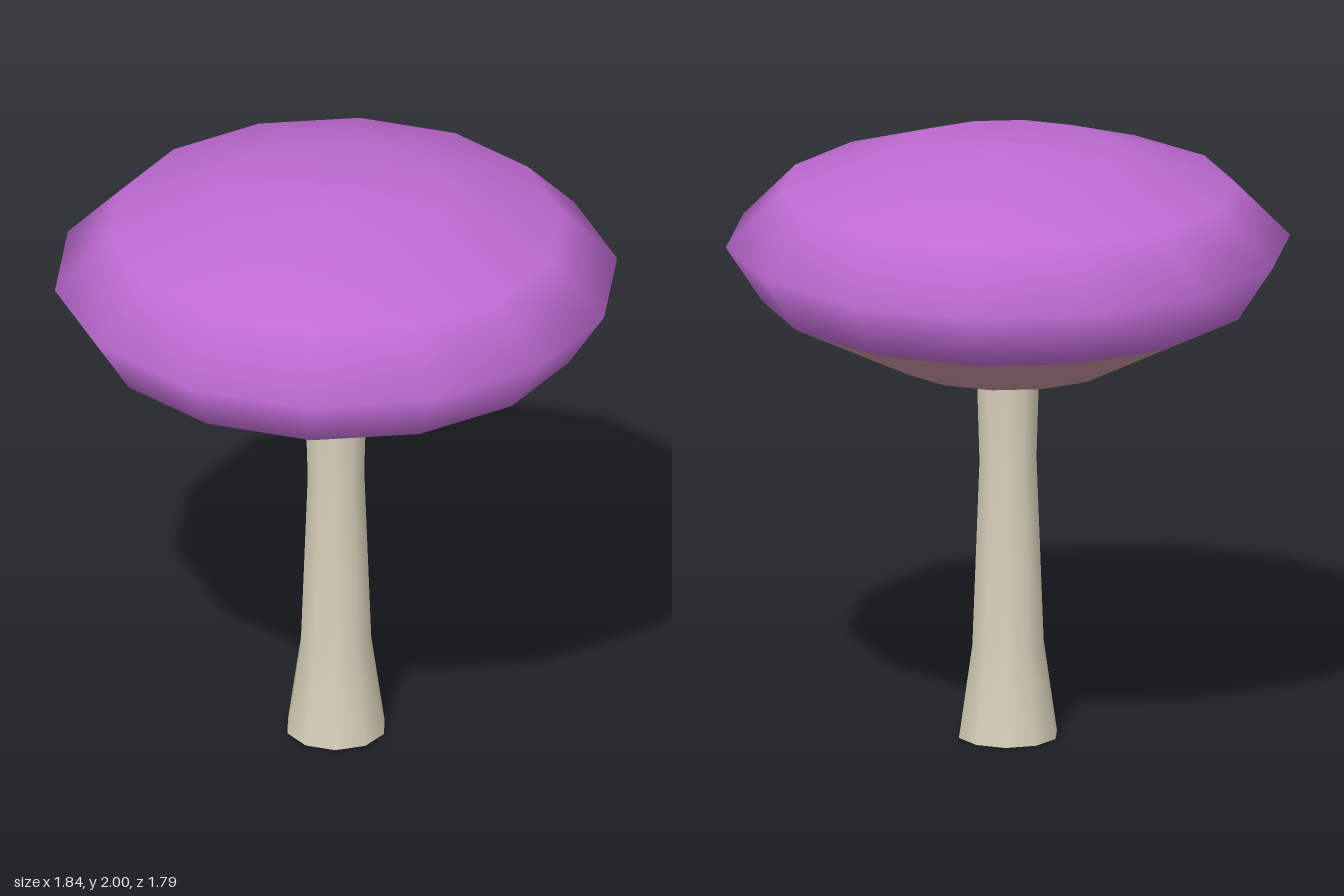
import * as THREE from 'three';

const mat = (name, color) => {
  const m = new THREE.MeshStandardMaterial({ color });
  m.name = name;
  return m;
};

// Revolves a bottom-to-top [radius, height] profile, with a corner on the x axis
function turned(name, profile, sides, material) {
  const points = profile.map(([r, y]) => new THREE.Vector2(r, y));
  const geometry = new THREE.LatheGeometry(points, sides).rotateY(Math.PI / 2);
  const mesh = new THREE.Mesh(geometry, material);
  mesh.name = name;
  return mesh;
}

export function createModel() {
  const purple = mat('purple', 0xbf6bd3);
  const mauve = mat('mauve', 0xc4929c);
  const cream = mat('cream', 0xd8d0ba);
  const mushroom = new THREE.Group();
  mushroom.name = 'mushroom';

  // Domed cap, curling under at the rim
  mushroom.add(turned('cap', [
    [0.74, 1.45], [0.8, 1.48], [0.92, 1.665], [0.74, 1.848], [0.37, 1.97], [0, 2],
  ], 14, purple));

  // Gilled underside
  mushroom.add(turned('gills', [[0, 1.232], [0.37, 1.265], [0.74, 1.45]], 14, mauve));

  // Waisted stem, flared at the foot
  mushroom.add(turned('stem', [
    [0.165, 0], [0.12, 0.31], [0.096, 0.93], [0.106, 1.26],
  ], 10, cream));

  // Flat base closing the stem
  const base = new THREE.Mesh(new THREE.CircleGeometry(0.165, 10).rotateX(Math.PI / 2), cream);
  base.name = 'stemBase';
  mushroom.add(base);

  return mushroom;
}
